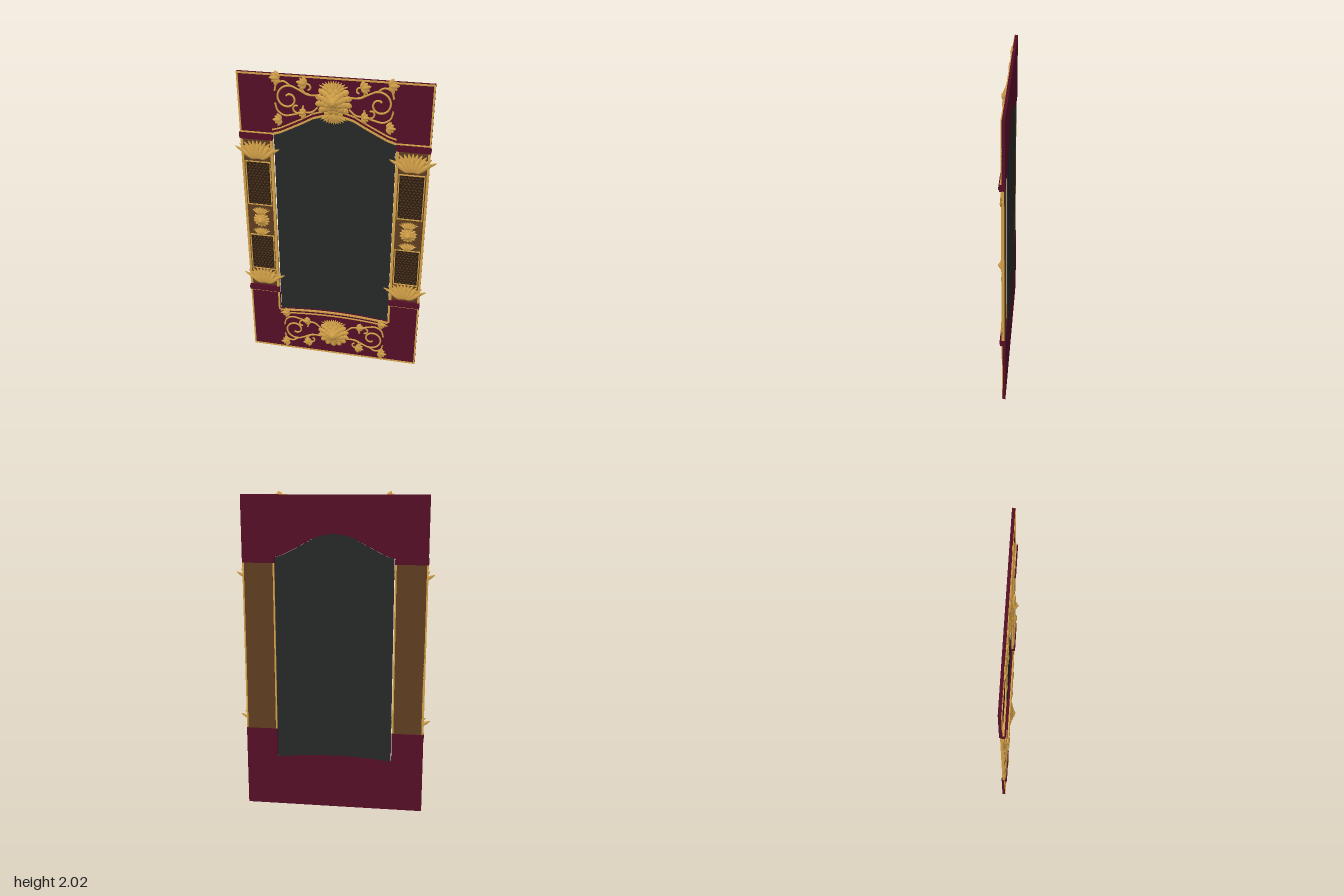
import * as THREE from 'three';

const mat = (name, color, side = THREE.FrontSide) => {
  const m = new THREE.MeshStandardMaterial({ color, side });
  m.name = name;
  return m;
};

export function createModel() {
  const root = new THREE.Group();
  root.name = 'ornateMirrorFrame';
  const maroon = mat('maroon', 0x540e26);
  const gold = mat('gold', 0xd2a048);
  const brown = mat('brown', 0x5e3c20);
  const dark = mat('darkPanel', 0x2c1d10);
  const glass = mat('mirrorGlass', 0x262727);

  const add = (parent, name, geo, m) => {
    const mesh = new THREE.Mesh(geo, m);
    mesh.name = name;
    parent.add(mesh);
    return mesh;
  };
  const group = (name, parent = root) => {
    const g = new THREE.Group();
    g.name = name;
    parent.add(g);
    return g;
  };
  // box given by its limits
  const box = (parent, name, m, x0, x1, y0, y1, z0, z1) =>
    add(parent, name, new THREE.BoxGeometry(x1 - x0, y1 - y0, z1 - z0), m)
      .position.set((x0 + x1) / 2, (y0 + y1) / 2, (z0 + z1) / 2);
  const plate = (parent, name, m, pts, z0, z1) => {
    const shape = new THREE.Shape(pts.map(([x, y]) => new THREE.Vector2(x, y)));
    const geo = new THREE.ExtrudeGeometry(shape, { depth: z1 - z0, bevelEnabled: false });
    add(parent, name, geo, m).position.z = z0;
  };
  const tube = (parent, name, pts, r) => {
    const curve = new THREE.CatmullRomCurve3(pts.map(([x, y]) => new THREE.Vector3(x, y, 0)));
    add(parent, name, new THREE.TubeGeometry(curve, pts.length * 3, r, 6), gold).position.z = -0.012;
  };

  // unit petal: base at the origin, pointed tip at y = 1
  const petalGeo = new THREE.SphereGeometry(1, 8, 8);
  const pos = petalGeo.attributes.position;
  for (let i = 0; i < pos.count; i++) {
    const t = (pos.getY(i) + 1) / 2;
    const taper = 1.12 - 0.5 * t * t;
    pos.setXYZ(i, pos.getX(i) * taper, t, pos.getZ(i) * taper);
  }
  petalGeo.computeVertexNormals();
  const petal = (parent, x, y, z, len, w, d, angle, tilt = 0) => {
    const p = add(parent, 'petal', petalGeo, gold);
    p.position.set(x, y, z);
    p.scale.set(w, len, d);
    p.rotation.set(tilt, 0, -angle, 'ZYX');
  };

  // lotus fan of two overlapping rows
  const lotus = (parent, name, x, y, size, flip = 1, z = -0.014) => {
    const g = group(name, parent);
    g.position.set(x, y, z);
    g.scale.y = 1;
    if (flip < 0) g.rotation.z = Math.PI;
    for (let i = -5; i <= 5; i++) {
      const k = Math.abs(i) / 5;
      petal(g, 0, 0, 0, size * (0.8 + 0.26 * k * k), size * 0.1, 0.006, i * 0.22);
    }
    for (let i = -3; i <= 3; i++)
      petal(g, i * size * 0.05, -size * 0.02, 0.005, size * (0.66 + 0.03 * Math.abs(i)), size * 0.11, 0.007, i * 0.31);
  };

  // domed rosette: rings of petals rising to a central knob
  const rosette = (parent, x, y, r, z0, height) => {
    const g = group('rosette', parent);
    g.position.set(x, y, z0);
    const rings = [[1, 14], [0.78, 12], [0.55, 9], [0.32, 6]];
    rings.forEach(([f, n], k) => {
      const len = r * 0.42;
      for (let i = 0; i < n; i++) {
        const a = ((i + (k % 2) / 2) / n) * Math.PI * 2;
        const ri = Math.max(r * f - len, 0);
        petal(g, Math.sin(a) * ri, Math.cos(a) * ri, height * (0.12 + k * 0.2),
          r * f - ri, r * 0.17, height * 0.2, a, -0.2);
      }
    });
    const knob = add(g, 'knob', new THREE.SphereGeometry(r * 0.16, 10, 8), gold);
    knob.position.z = height * 0.82;
    knob.scale.z = (height * 0.18) / (r * 0.16);
  };

  const spiral = (cx, cy, r0, r1, a0, a1, n = 16) => Array.from({ length: n + 1 }, (_, i) => {
    const t = i / n, a = a0 + (a1 - a0) * t, r = r0 + (r1 - r0) * t;
    return [cx + r * Math.cos(a), cy + r * Math.sin(a)];
  });
  const bud = (parent, x, y, angle, s) => {
    for (const i of [-2, -1, 1, 2, 0])
      petal(parent, x, y, i ? -0.011 : -0.008, s * (i ? 0.85 : 1), s * 0.25, 0.008, angle + i * 0.5);
  };

  // floral crest: rosette, curling stems and buds, mirrored left to right
  const crest = (name, y, flip) => {
    const g = group(name);
    g.position.y = y;
    rosette(g, 0, 0, 0.115, -0.014, 0.042);
    lotus(g, 'upperFan', 0, 0.05, 0.09);
    for (const s of [-1, 1]) {
      const side = group('scrollwork', g);
      const P = (pts) => pts.map(([x, yy]) => [x * s, yy * flip]);
      tube(side, 'outerScroll', P(spiral(0.265, 0.0, 0.078, 0.018, 1.9, -5.4, 22)), 0.0065);
      tube(side, 'innerScroll', P(spiral(0.15, 0.07, 0.038, 0.01, -1.8, 4.6)), 0.006);
      tube(side, 'lowerScroll', P(spiral(0.215, -0.055, 0.04, 0.012, 2.6, 8.2)), 0.006);
      tube(side, 'upperStem', P([[0.09, 0.03], [0.15, 0.03], [0.2, 0.055], [0.24, 0.074]]), 0.006);
      tube(side, 'lowerStem', P([[0.09, -0.04], [0.13, -0.075], [0.18, -0.08], [0.23, -0.095], [0.29, -0.105], [0.33, -0.08], [0.345, -0.03]]), 0.006);
      tube(side, 'cornerStem', P([[0.25, 0.075], [0.29, 0.1], [0.33, 0.085], [0.345, 0.04]]), 0.006);
      const B = (x, yy, a, size) => bud(side, x * s, yy * flip, (flip > 0 ? a : Math.PI - a) * s, size);
      B(0.315, 0.115, 1.5, 0.06);
      B(0.31, -0.135, 1.6, 0.055);
      B(0.165, -0.085, 1.5, 0.05);
      B(0.16, 0.09, 1.3, 0.058);
    }
    return g;
  };

  // edges of the opening
  const half = [[0.37, 1.625], [0.32, 1.64], [0.27, 1.665], [0.19, 1.706], [0.12, 1.745], [0.06, 1.763]];
  const arch = [...half, [0, 1.77], ...half.slice().reverse().map(([x, y]) => [-x, y])];
  const sill = Array.from({ length: 13 }, (_, i) => {
    const x = -0.37 + (0.74 * i) / 12;
    return [x, 0.33 + 0.025 * (1 - (x / 0.37) ** 2)];
  });
  const ribbon = (name, pts, dy, w, z1) => plate(root, name, gold,
    [...pts.map(([x, y]) => [x, y + dy]), ...pts.slice().reverse().map(([x, y]) => [x, y + dy + w])], -0.016, z1);

  // mirror and maroon panels
  plate(root, 'mirror', glass, [...sill.map(([x, y]) => [x * 0.99, y]), ...arch.map(([x, y]) => [x * 0.99, y])], -0.032, -0.029);
  plate(root, 'topPanel', maroon, [[0.57, 2], [-0.57, 2], [-0.57, 1.59], [-0.37, 1.59], ...arch.slice().reverse(), [0.37, 1.59], [0.57, 1.59]], -0.032, -0.014);
  plate(root, 'bottomPanel', maroon, [[-0.57, 0], [0.57, 0], [0.57, 0.52], [0.37, 0.52], ...sill.slice().reverse(), [-0.37, 0.52], [-0.57, 0.52]], -0.032, -0.014);

  // gold edging
  ribbon('archTrim', arch, 0, 0.012, -0.006);
  ribbon('archOuterTrim', arch, 0.028, 0.009, -0.009);
  ribbon('sillTrim', sill, -0.01, 0.011, -0.006);
  ribbon('sillLowerTrim', sill, -0.036, 0.009, -0.009);
  box(root, 'topEdge', gold, -0.57, 0.57, 1.99, 2, -0.016, -0.01);
  box(root, 'bottomEdge', gold, -0.57, 0.57, 0, 0.01, -0.016, -0.01);

  crest('topCrest', 1.86, 1);
  lotus(root, 'archPendant', 0, 1.785, 0.082, -1);
  crest('bottomCrest', 0.17, -1);

  for (const s of [-1, 1]) {
    const col = group(s > 0 ? 'leftColumn' : 'rightColumn');
    const bar = (name, m, x0, x1, y0, y1, z0, z1) =>
      box(col, name, m, Math.min(s * x0, s * x1), Math.max(s * x0, s * x1), y0, y1, z0, z1);

    bar('upperEdge', gold, 0.56, 0.57, 1.63, 2, -0.016, -0.01);
    bar('lowerEdge', gold, 0.56, 0.57, 0, 0.48, -0.016, -0.01);
    bar('lowerInnerEdge', gold, 0.37, 0.382, 0.33, 0.48, -0.016, -0.008);
    for (const [y, trim] of [[1.59, 1.63], [0.48, 0.474]]) {
      bar('band', maroon, 0.37, 0.572, y, y + 0.04, -0.016, 0);
      bar('bandRidge', maroon, 0.368, 0.574, y + 0.013, y + 0.027, -0.016, 0.003);
      bar('bandTrim', gold, 0.37, 0.57, trim, trim + 0.006, -0.016, -0.004);
    }
    bar('board', brown, 0.38, 0.56, 0.52, 1.59, -0.027, -0.018);
    bar('outerStrip', gold, 0.556, 0.57, 0.52, 1.59, -0.027, -0.01);
    bar('innerStrip', gold, 0.37, 0.387, 0.52, 1.59, -0.024, -0.008);

    // latticed inset panels
    for (const [y0, y1] of [[1.135, 1.44], [0.65, 0.915]]) {
      bar('inset', dark, 0.392, 0.55, y0, y1, -0.02, -0.015);
      for (const y of [y0, y1 - 0.006]) bar('insetFrame', gold, 0.392, 0.55, y, y + 0.006, -0.018, -0.01);
      for (const x of [0.392, 0.544]) bar('insetFrame', gold, x, x + 0.006, y0, y1, -0.018, -0.01);
      const rows = Math.floor((y1 - y0 - 0.03) / 0.019);
      const bead = new THREE.BoxGeometry(0.015, 0.005, 0.004);
      for (let r = 0; r <= rows; r++)
        for (let c = 0; c < 6; c++) {
          const b = add(col, 'latticeBead', bead, brown);
          b.position.set(s * (0.411 + c * 0.022 + (r % 2) * 0.01), y0 + 0.016 + r * 0.019, -0.014);
          b.rotation.z = (r % 2 ? 1 : -1) * 0.7;
        }
    }

    // lotus capitals and the middle flower
    lotus(col, 'topLotus', s * 0.47, 1.46, 0.148, 1, -0.013);
    lotus(col, 'bottomLotus', s * 0.47, 0.54, 0.148, 1, -0.013);
    lotus(col, 'smallUpperLotus', s * 0.47, 1.07, 0.062);
    lotus(col, 'smallLowerLotus', s * 0.47, 0.92, 0.062);
    rosette(col, s * 0.47, 1.025, 0.055, -0.018, 0.034);
  }
  return root;
}
